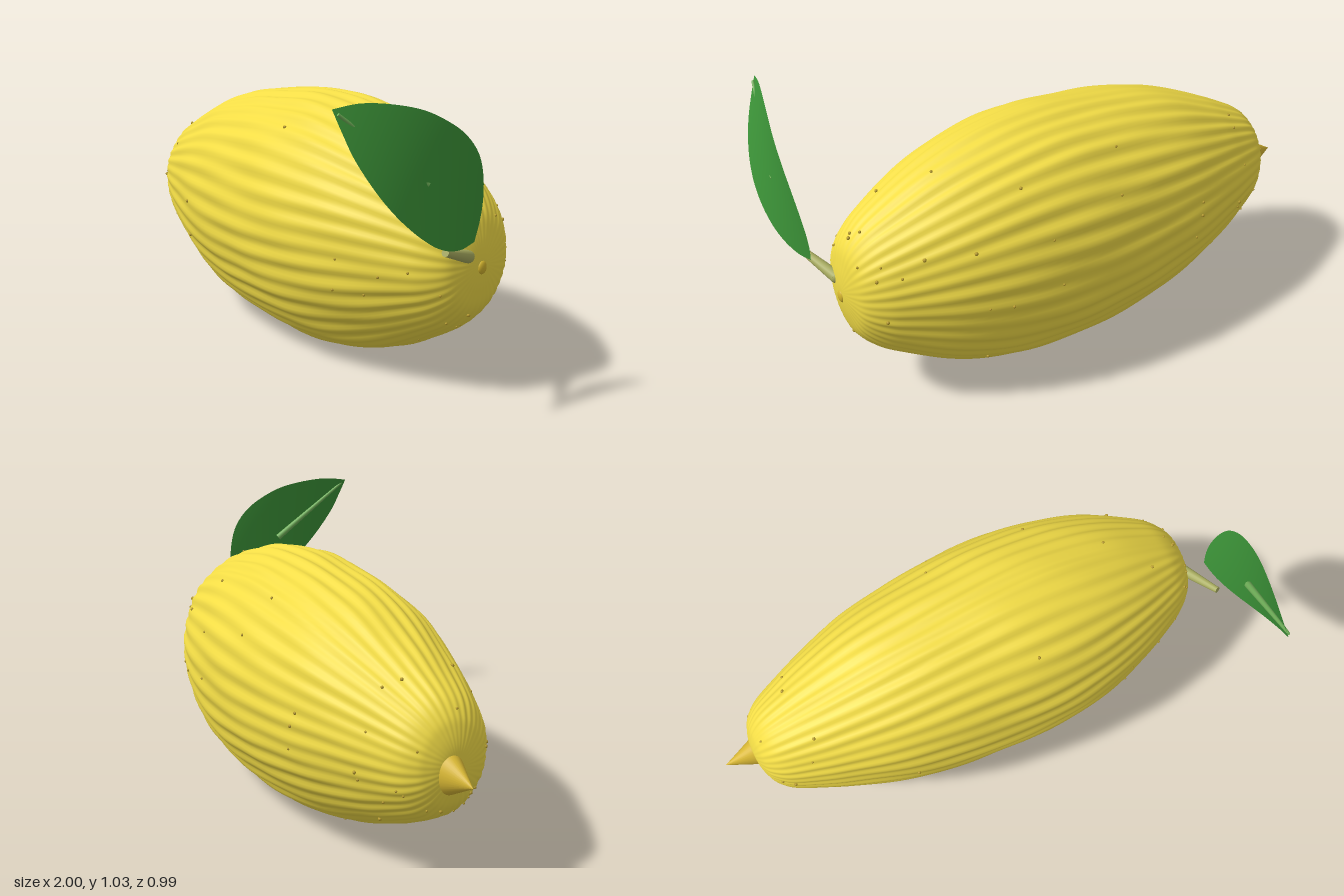
import * as THREE from 'three';
import { mergeVertices, mergeGeometries } from 'three/addons/utils/BufferGeometryUtils.js';

const CENTER = new THREE.Vector3(0, 0.468, -0.115);
const FLATTEN = 0.825; // depth relative to height
const RIBS = 37;

const material = (color, side = THREE.FrontSide) => new THREE.MeshStandardMaterial({ color, side });
const vec = (x, y, z) => new THREE.Vector3(x, y, z);

function addMesh(group, name, geometry, mat) {
  const mesh = new THREE.Mesh(geometry, mat);
  mesh.name = name;
  group.add(mesh);
  return mesh;
}

// Small seeded random generator
function seeded(seed) {
  return () => {
    seed = (seed * 16807) % 2147483647;
    return seed / 2147483647;
  };
}

// Half-height of the fruit (first value) along its long axis (second value)
const profile = new THREE.SplineCurve([
  [0, -0.888], [0.06, -0.886], [0.115, -0.872], [0.16, -0.85], [0.21, -0.8], [0.265, -0.7],
  [0.312, -0.6], [0.39, -0.4], [0.434, -0.2], [0.455, 0], [0.46, 0.15], [0.448, 0.3],
  [0.415, 0.45], [0.358, 0.6], [0.275, 0.75], [0.225, 0.82], [0.165, 0.87], [0.1, 0.89],
  [0.04, 0.899], [0, 0.9],
].map(([r, x]) => new THREE.Vector2(r, x)));

// Lengthwise ribs broken up by gentle waves
function ripple(angle, x) {
  const rib = Math.sin(RIBS * angle + 0.9 * Math.sin(5 * x + 3 * angle));
  const dents = Math.sin(13 * x + 9 * angle) * Math.sin(17 * angle - 6 * x);
  const waves = Math.sin(8 * x + 4 * angle) * Math.cos(5 * angle - 3 * x);
  return 1 + 0.011 * rib + 0.006 * dents + 0.006 * waves;
}

function surfacePoint(r, x, angle) {
  const k = r * ripple(angle, x);
  return vec(x, CENTER.y + k * Math.cos(angle), CENTER.z + k * FLATTEN * Math.sin(angle));
}

function fruitGeometry() {
  const points = profile.getPoints(95);
  points.forEach((p) => { p.x = Math.max(p.x, 0); });
  const lathe = new THREE.LatheGeometry(points, 222).rotateZ(-Math.PI / 2);
  const pos = lathe.attributes.position;
  for (let i = 0; i < pos.count; i++) {
    const y = pos.getY(i), z = pos.getZ(i);
    const p = surfacePoint(Math.hypot(y, z), pos.getX(i), Math.atan2(z, y));
    pos.setXYZ(i, p.x, p.y, p.z);
  }
  lathe.deleteAttribute('normal');
  lathe.deleteAttribute('uv');
  const welded = mergeVertices(lathe, 1e-5);
  welded.computeVertexNormals();
  return welded;
}

// Tiny pores scattered over the rind
function poresGeometry() {
  const random = seeded(41);
  const pores = [];
  for (let i = 0; i < 70; i++) {
    const p = profile.getPoint(0.15 + 0.7 * random());
    const at = surfacePoint(p.x + 0.001, p.y, random() * Math.PI * 2);
    pores.push(new THREE.SphereGeometry(0.004 + 0.003 * random(), 8, 6).translate(at.x, at.y, at.z));
  }
  return mergeGeometries(pores);
}

// Tapered round rod between two points
function rod(from, to, r0, r1) {
  const dir = to.clone().sub(from);
  const geometry = new THREE.CylinderGeometry(r1, r0, dir.length(), 16);
  geometry.applyQuaternion(new THREE.Quaternion().setFromUnitVectors(vec(0, 1, 0), dir.normalize()));
  const mid = from.clone().add(to).multiplyScalar(0.5);
  return geometry.translate(mid.x, mid.y, mid.z);
}

// The blade is twisted into a shallow saddle
const bladeX = (y, z) => 0.978 - 0.96 * (z - 0.1) * (y - 0.78);

function leafGeometry() {
  // Both edges run from the base to the tip as (z, y)
  const edge = (pts) => new THREE.SplineCurve(pts.map(([z, y]) => new THREE.Vector2(z, y)));
  const upper = edge([[-0.022, 0.567], [-0.036, 0.63], [-0.038, 0.7], [-0.025, 0.78], [0.002, 0.85],
    [0.05, 0.91], [0.11, 0.955], [0.2, 1.0], [0.3, 1.024], [0.4, 1.033], [0.49, 1.022]]);
  const lower = edge([[-0.022, 0.567], [0.04, 0.556], [0.1, 0.563], [0.15, 0.579], [0.2, 0.604],
    [0.27, 0.652], [0.34, 0.715], [0.4, 0.79], [0.45, 0.88], [0.475, 0.96], [0.49, 1.022]]);
  const along = 40, across = 16, verts = [], index = [];
  for (let i = 0; i <= along; i++) {
    const a = lower.getPointAt(i / along), b = upper.getPointAt(i / along);
    for (let j = 0; j <= across; j++) {
      const p = a.clone().lerp(b, j / across);
      verts.push(bladeX(p.y, p.x), p.y, p.x);
      if (i < along && j < across) {
        const k = i * (across + 1) + j, n = k + across + 1;
        index.push(k, k + 1, n, k + 1, n + 1, n);
      }
    }
  }
  const geometry = new THREE.BufferGeometry();
  geometry.setAttribute('position', new THREE.Float32BufferAttribute(verts, 3));
  geometry.setIndex(index);
  geometry.computeVertexNormals();
  return geometry;
}

export function createModel() {
  const model = new THREE.Group();
  model.name = 'fruit';

  addMesh(model, 'rind', fruitGeometry(), material(0xf2dc46));
  addMesh(model, 'pores', poresGeometry(), material(0xb89c2c));

  // Pointed blossom end
  const tip = addMesh(model, 'blossomTip',
    new THREE.ConeGeometry(0.068, 0.115, 32).rotateZ(Math.PI / 2), material(0xd9b834));
  tip.scale.z = 0.7;
  tip.position.set(-0.9425, 0.442, -0.132);

  // Small button at the stem end
  const button = addMesh(model, 'stemButton', new THREE.SphereGeometry(0.02, 20, 14), material(0xd4b52e));
  button.scale.set(0.5, 1.15, 0.95);
  button.position.set(0.898, 0.454, -0.116);

  // Stem
  const stemMaterial = material(0xa9ad60);
  const stemBase = vec(0.887, 0.497, -0.062);
  addMesh(model, 'stem', rod(stemBase, vec(0.948, 0.55, 0.095), 0.022, 0.012), stemMaterial);
  addMesh(model, 'stemFoot', new THREE.SphereGeometry(0.022, 16, 12), stemMaterial).position.copy(stemBase);

  // Leaf with its midrib
  const leaf = new THREE.Group();
  leaf.name = 'leaf';
  addMesh(leaf, 'leafBlade', leafGeometry(), material(0x3c9438, THREE.DoubleSide));
  addMesh(leaf, 'leafMidrib', rod(vec(0.967, 0.78, 0.195), vec(0.9, 1.008, 0.478), 0.013, 0.005), material(0x6fae58));
  model.add(leaf);

  return model;
}
